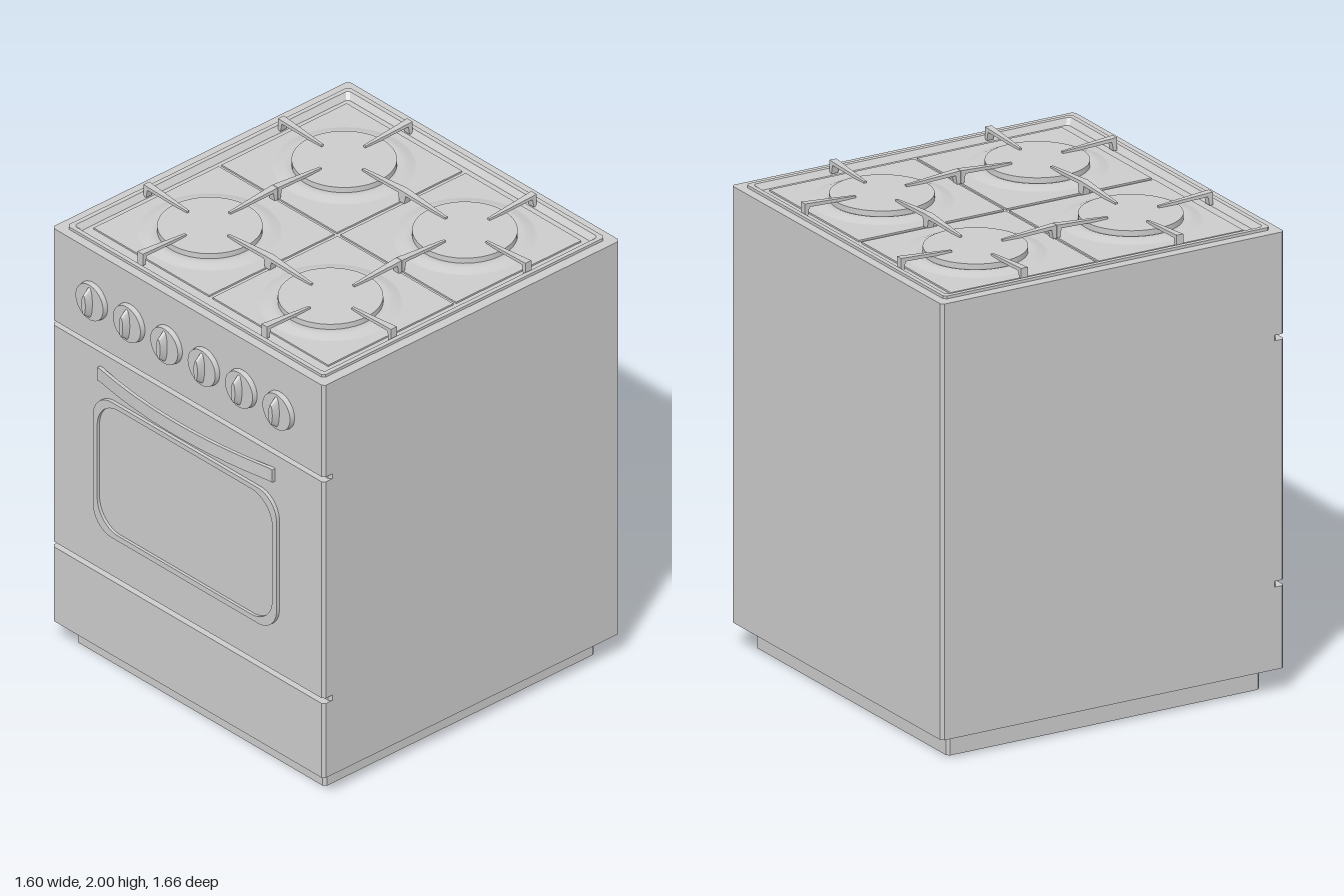
import * as THREE from 'three';
import { toCreasedNormals } from 'three/addons/utils/BufferGeometryUtils.js';

const mat = new THREE.MeshStandardMaterial({ color: 0xcccccc, side: THREE.DoubleSide });

function add(parent, name, geo, x = 0, y = 0, z = 0) {
  const m = new THREE.Mesh(geo, mat);
  m.name = name;
  m.position.set(x, y, z);
  parent.add(m);
  return m;
}

// Stack of chamfered rectangles [y, halfWidth, zBack, zFront], closed at the top
function loftRects(rings, c = 0.012) {
  const pos = [];
  const loops = rings.map(([y, x, b, f]) => [
    [x - c, y, f], [x, y, f - c], [x, y, b + c], [x - c, y, b],
    [c - x, y, b], [-x, y, b + c], [-x, y, f - c], [c - x, y, f],
  ]);
  for (let i = 0; i < loops.length - 1; i++) {
    for (let j = 0; j < 8; j++) {
      const k = (j + 1) % 8, lo = loops[i], hi = loops[i + 1];
      pos.push(...lo[j], ...lo[k], ...hi[k], ...lo[j], ...hi[k], ...hi[j]);
    }
  }
  const top = loops[loops.length - 1];
  for (let j = 1; j < 7; j++) pos.push(...top[0], ...top[j], ...top[j + 1]);
  const g = new THREE.BufferGeometry();
  g.setAttribute('position', new THREE.Float32BufferAttribute(pos, 3));
  g.computeVertexNormals();
  return g;
}

function roundedRect(P, x, y0, y1, r) {
  const s = new P();
  s.moveTo(x, y0 + r);
  s.lineTo(x, y1 - r);
  s.absarc(x - r, y1 - r, r, 0, Math.PI / 2);
  s.absarc(r - x, y1 - r, r, Math.PI / 2, Math.PI);
  s.absarc(r - x, y0 + r, r, Math.PI, Math.PI * 1.5);
  s.absarc(x - r, y0 + r, r, Math.PI * 1.5, Math.PI * 2);
  return s;
}

// Tapered pan support running along +x, with a foot at its start
function fingerGeometry(len) {
  const g = new THREE.BoxGeometry(1, 1, 1, 4, 1, 1);
  const us = [0, 0.06, 0.09, 0.5, 1];
  const p = g.attributes.position;
  for (let i = 0; i < p.count; i++) {
    const step = Math.round((p.getX(i) + 0.5) * 4);
    const u = us[step];
    const top = 2.0 - 0.016 * u;
    const bottom = step < 2 ? 1.945 : top - 0.016 + 0.004 * u;
    p.setXYZ(i, u * len, p.getY(i) > 0 ? top : bottom, p.getZ(i) * (0.032 - 0.021 * u));
  }
  const flat = g.toNonIndexed();
  flat.computeVertexNormals();
  return flat;
}

export function createModel() {
  const root = new THREE.Group();
  root.name = 'cooker';

  // Hollow cabinet: plinth, walls with two front grooves, rim and sunken tray
  const B = -0.83, F = 0.77, G = 0.735;
  add(root, 'cabinet', loftRects([
    [0, 0.73, -0.76, 0.7], [0.1, 0.73, -0.76, 0.7], [0.1, 0.8, B, F],
    [0.45, 0.8, B, F], [0.45, 0.8, B, G], [0.475, 0.8, B, G], [0.475, 0.8, B, F],
    [1.495, 0.8, B, F], [1.495, 0.8, B, G], [1.518, 0.8, B, G], [1.518, 0.8, B, F],
    [1.95, 0.8, B, F], [1.95, 0.755, -0.79, 0.73], [1.962, 0.755, -0.79, 0.73],
    [1.962, 0.735, -0.77, 0.71], [1.938, 0.715, -0.75, 0.69], [1.938, 0.7, -0.735, 0.675],
  ]));

  // Hob: four panels, each with a mound, a burner cap and four pan supports
  const hob = new THREE.Group();
  hob.name = 'hob';
  root.add(hob);
  const mound = new THREE.LatheGeometry([
    [0.21, 1.952], [0.222, 1.956], [0.235, 1.9575], [0.25, 1.956], [0.27, 1.949], [0.288, 1.9445],
  ].reverse().map(([r, y]) => new THREE.Vector2(r, y)), 48);
  const cap = new THREE.CylinderGeometry(0.21, 0.21, 0.03, 48);
  const finger = fingerGeometry(0.245);
  for (const sx of [-1, 1]) {
    for (const [z, z0, z1] of [[-0.4, -0.72, -0.045], [0.325, -0.03, 0.645]]) {
      add(hob, 'hobPanel', new THREE.BoxGeometry(0.68, 0.02, z1 - z0), sx * 0.35, 1.935, (z0 + z1) / 2);
      add(hob, 'burnerMound', mound, sx * 0.355, 0, z);
      add(hob, 'burnerCap', cap, sx * 0.355, 1.961, z);
      const back = z < 0 ? -0.763 : -0.035, front = z < 0 ? -0.037 : 0.692;
      const feet = [
        [sx * 0.728, z, sx > 0 ? Math.PI : 0], [0, z, sx > 0 ? 0 : Math.PI],
        [sx * 0.365, back, -Math.PI / 2], [sx * 0.365, front, Math.PI / 2],
      ];
      for (const [fx, fz, turn] of feet) add(hob, 'panSupport', finger, fx, 0, fz).rotation.y = turn;
    }
  }

  // Control knobs: round base with a tapered oval grip
  const base = new THREE.CylinderGeometry(0.081, 0.084, 0.022, 40).rotateX(Math.PI / 2);
  const grip = new THREE.CylinderGeometry(0.045, 0.074, 0.036, 32).rotateX(Math.PI / 2).scale(0.26, 1, 1);
  for (let i = 0; i < 6; i++) {
    const knob = new THREE.Group();
    knob.name = 'knob';
    knob.position.set(-0.555 + i * 0.22, 1.72, F);
    add(knob, 'knobBase', base, 0, 0, 0.011);
    add(knob, 'knobGrip', grip, 0, 0, 0.036);
    root.add(knob);
  }

  // Oven window: raised frame around a set-back pane
  const frame = roundedRect(THREE.Shape, 0.54, 0.667, 1.305, 0.11);
  frame.holes.push(roundedRect(THREE.Path, 0.515, 0.692, 1.283, 0.125));
  add(root, 'windowFrame', toCreasedNormals(
    new THREE.ExtrudeGeometry(frame, { depth: 0.016, bevelEnabled: false, curveSegments: 12 }), 0.6), 0, 0, F);
  add(root, 'windowPane', new THREE.ShapeGeometry(
    roundedRect(THREE.Shape, 0.516, 0.691, 1.284, 0.125), 12), 0, 0, F + 0.003);

  // Bowed door handle with an end post at each side
  const bow = new THREE.Shape();
  const zAt = (x) => 0.835 - 0.052 * (x / 0.515) ** 2;
  const N = 24;
  for (let i = 0; i <= N; i++) {
    const x = -0.515 + (1.03 * i) / N;
    if (i) bow.lineTo(x, -zAt(x)); else bow.moveTo(x, -zAt(x));
  }
  for (let i = N; i >= 0; i--) {
    const x = -0.515 + (1.03 * i) / N;
    bow.lineTo(x, -zAt(x) + 0.016);
  }
  const bar = new THREE.ExtrudeGeometry(bow, { depth: 0.06, bevelEnabled: false }).rotateX(-Math.PI / 2);
  add(root, 'handleBar', toCreasedNormals(bar, 0.6), 0, 1.37, 0);
  for (const sx of [-1, 1]) add(root, 'handlePost', new THREE.BoxGeometry(0.025, 0.06, 0.02), sx * 0.5025, 1.4, 0.777);

  return root;
}
